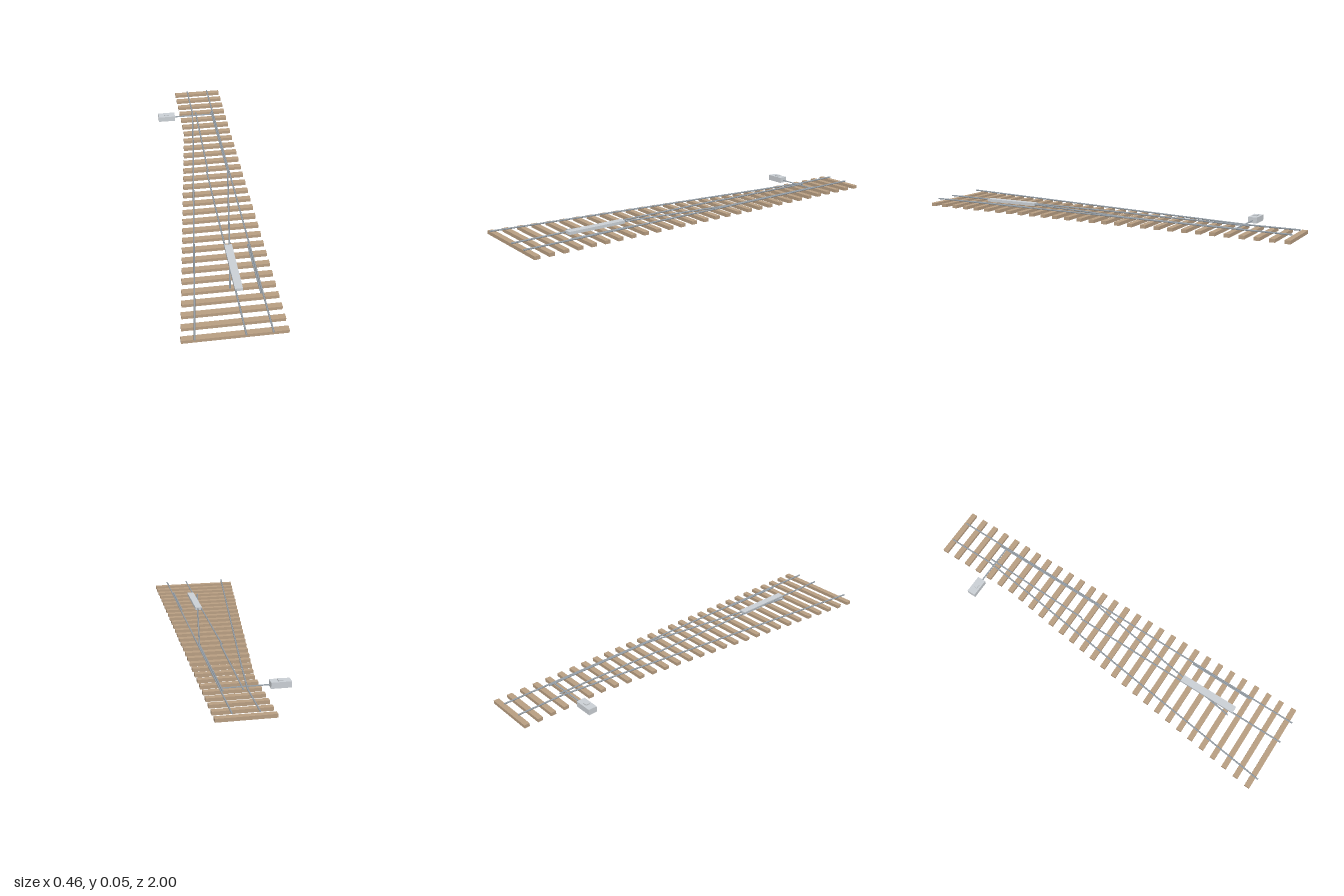
import * as THREE from 'three';

export function createModel() {
  const model = new THREE.Group();
  const mat = (name, color) => {
    const m = new THREE.MeshStandardMaterial({ color });
    m.name = name;
    return m;
  };
  const wood = mat('tie wood', 0xb89e82);
  const steel = mat('rail steel', 0x98a1a9);
  const metal = mat('pale metal', 0xcacfd4);

  const add = (name, geometry, material, x, y, z) => {
    const mesh = new THREE.Mesh(geometry, material);
    mesh.name = name;
    mesh.position.set(x, y, z);
    model.add(mesh);
    return mesh;
  };
  const box = (name, material, x0, x1, y0, y1, z0, z1) =>
    add(name, new THREE.BoxGeometry(x1 - x0, y1 - y0, z1 - z0), material,
      (x0 + x1) / 2, (y0 + y1) / 2, (z0 + z1) / 2);

  // Ties, widening to the left as the tracks part
  const right = 0.231, first = -0.9865, spacing = 0.07;
  for (let i = 0; i < 29; i++) {
    const z = first + i * spacing;
    const left = Math.min(-0.028, -0.231 + 0.132 * (0.9735 - z));
    box('tie', wood, left, right, 0, 0.0165, z - 0.0135, z + 0.0135);
  }

  // Thin hexagonal rails, each following points on the ground plane
  const railY = 0.0285, railRadius = 0.004;
  const rail = (name, ...points) => {
    for (let i = 1; i < points.length; i++) {
      const a = new THREE.Vector3(points[i - 1][0], railY, points[i - 1][1]);
      const b = new THREE.Vector3(points[i][0], railY, points[i][1]);
      const g = new THREE.CylinderGeometry(railRadius, railRadius, a.distanceTo(b), 6);
      g.rotateY(Math.PI / 2);
      g.rotateX(Math.PI / 2);
      const mesh = add(name, g, steel, 0, 0, 0);
      mesh.position.copy(a).add(b).multiplyScalar(0.5);
      mesh.lookAt(b);
    }
  };
  rail('rightStockRail', [0.159, -0.985], [0.159, 1]);
  rail('leftStockRail', [0.043, -0.985], [0.043, -0.75], [0.008, -0.45], [-0.175, 1]);
  rail('straightClosureRail', [0.043, -0.17], [0.043, 1]);
  rail('divergingClosureRail', [0.154, -0.17], [0.065, 0.43], [0.02, 0.715]);
  rail('leftSwitchBlade', [0.062, -0.75], [0.05, -0.17]);
  rail('rightSwitchBlade', [0.151, -0.75], [0.152, -0.17]);
  rail('guardRail', [0.151, 0.435], [0.151, 0.765]);

  // Crossing plate
  box('frogPlate', metal, 0.04, 0.076, 0.0215, 0.036, 0.43, 0.73);

  // Switch motor with its cap and the bar that moves the blades
  box('switchMotor', metal, -0.155, -0.0625, 0.0165, 0.045, -0.742, -0.698);
  box('motorCap', metal, -0.12, -0.096, 0.045, 0.0505, -0.731, -0.709);
  box('throwBar', steel, -0.0625, 0.15, 0.0265, 0.0305, -0.723, -0.717);

  return model;
}
